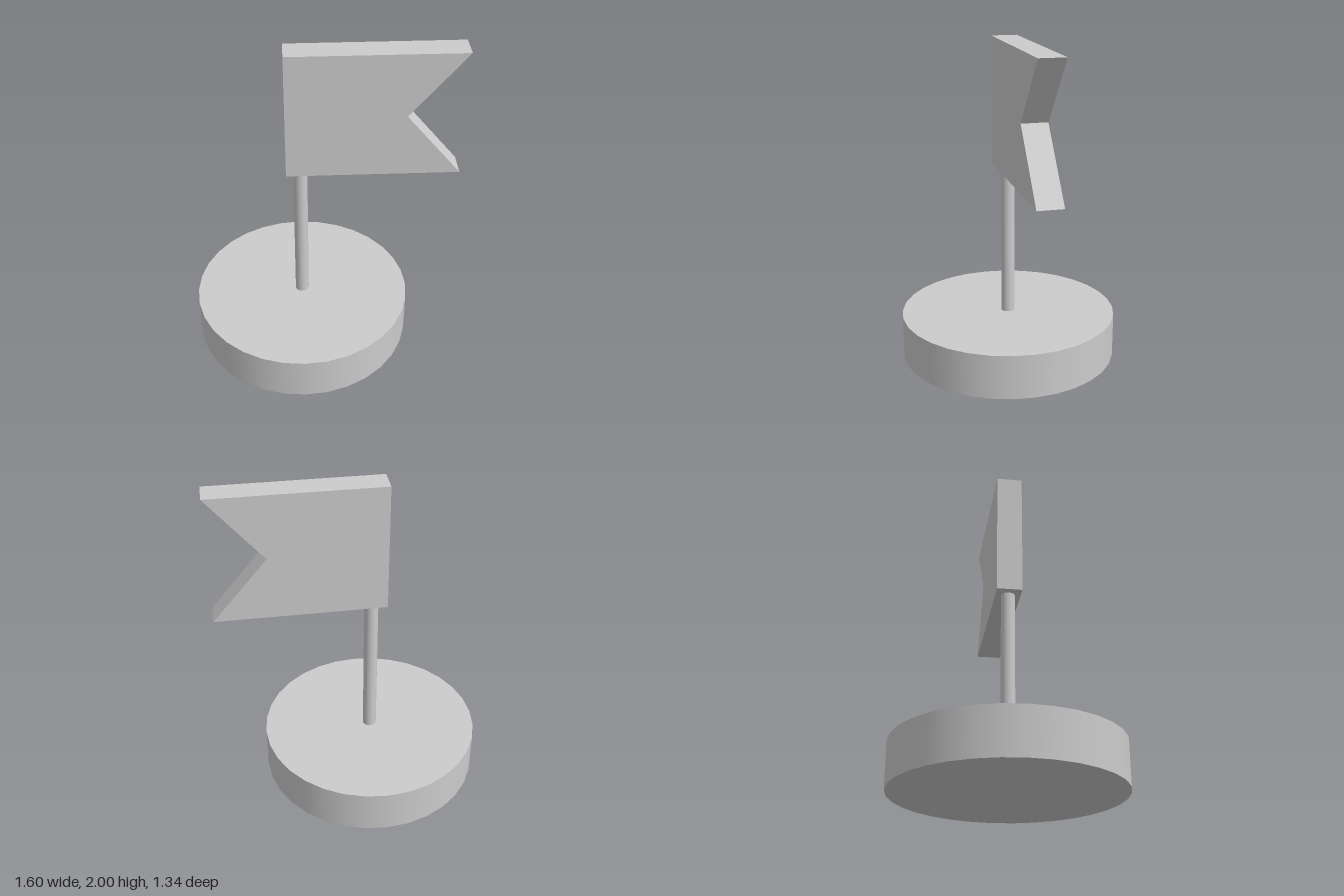
import * as THREE from 'three';

const POLE_X = -0.13;
const BASE_TOP = 0.275;
const FLAG_BOTTOM = 1.22;

export function createModel() {
  const model = new THREE.Group();
  model.name = 'flagOnStand';
  const grey = new THREE.MeshStandardMaterial({ color: 0xcccccc });

  const add = (name, geometry) => {
    const mesh = new THREE.Mesh(geometry, grey);
    mesh.name = name;
    model.add(mesh);
    return mesh;
  };

  // Upright cylinder centred on the pole axis
  const addCylinder = (name, radius, bottom, top) =>
    add(name, new THREE.CylinderGeometry(radius, radius, top - bottom, 32))
      .position.set(POLE_X, (bottom + top) / 2, 0);

  // Round base and thin pole, the pole sunk slightly into both neighbours
  addCylinder('base', 0.672, 0, BASE_TOP);
  addCylinder('pole', 0.042, BASE_TOP - 0.02, FLAG_BOTTOM + 0.02);

  // Thick swallow-tailed flag
  const outline = new THREE.Shape([
    [-0.215, FLAG_BOTTOM],
    [0.8, FLAG_BOTTOM],
    [0.475, 1.61],
    [0.8, 2],
    [-0.215, 2],
  ].map(([x, y]) => new THREE.Vector2(x, y)));
  const depth = 0.154;
  const flag = new THREE.ExtrudeGeometry(outline, { depth, bevelEnabled: false });
  flag.translate(0, 0, -depth / 2);
  add('flag', flag);

  return model;
}
